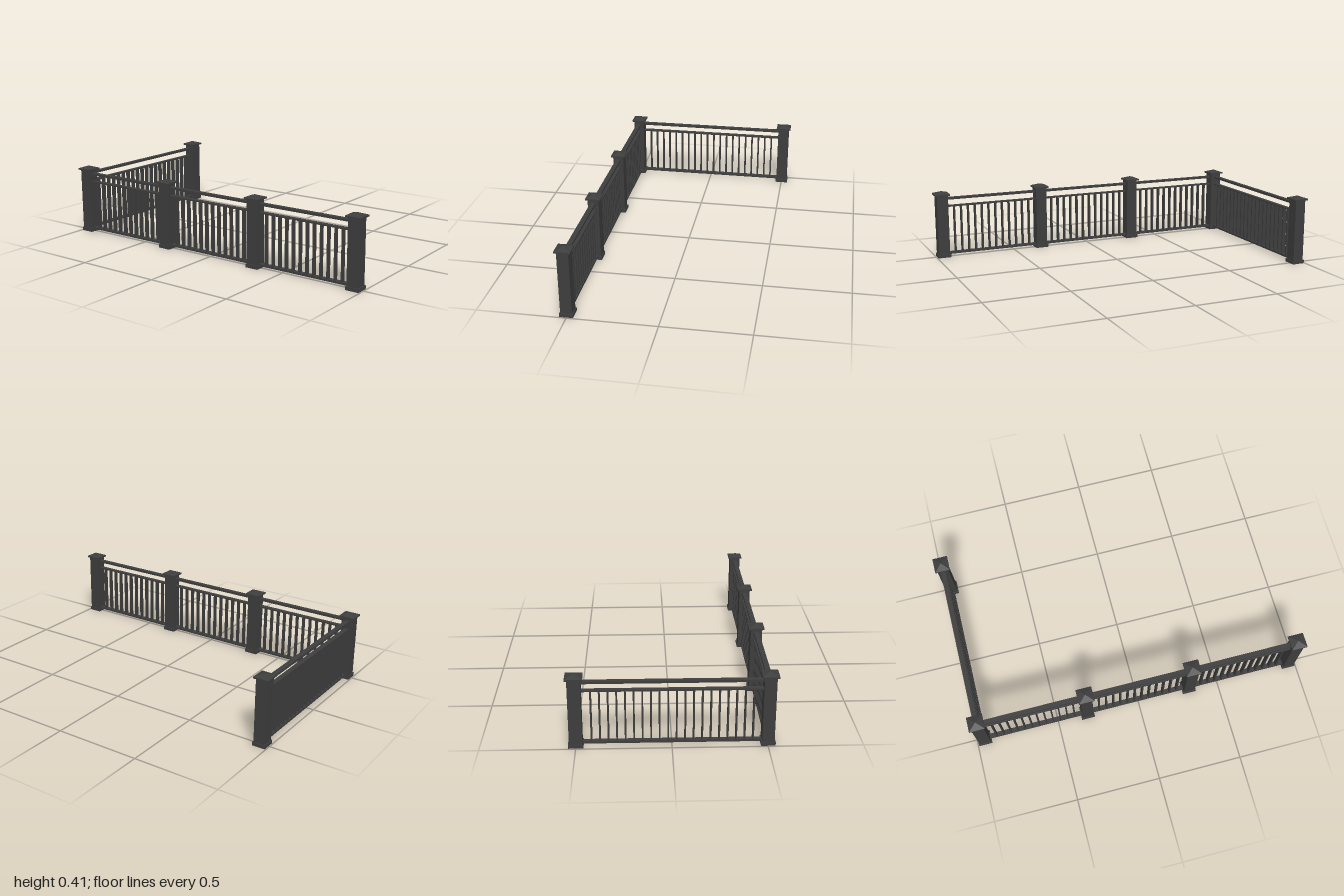
import * as THREE from 'three';

export function createModel() {
  const model = new THREE.Group();
  model.name = 'railing';
  const material = new THREE.MeshStandardMaterial({ color: 0x3d3d3d, flatShading: true });

  const add = (parent, name, geometry, x, y, z) => {
    const mesh = new THREE.Mesh(geometry, material);
    mesh.name = name;
    mesh.position.set(x, y, z);
    parent.add(mesh);
    return mesh;
  };
  // Box given by its length along the run, bottom, top and depth
  const slab = (parent, name, x, length, y0, y1, depth) =>
    add(parent, name, new THREE.BoxGeometry(length, y1 - y0, depth), x, (y0 + y1) / 2, 0);

  // Post with plinth, cap slab and low pyramid roof
  function createPost(x, z, turn = 0) {
    const post = new THREE.Group();
    post.name = 'post';
    slab(post, 'postBase', 0, 0.08, 0, 0.02, 0.076);
    slab(post, 'postShaft', 0, 0.069, 0.02, 0.39, 0.065);
    slab(post, 'postCap', 0, 0.092, 0.388, 0.397, 0.088);
    const roof = new THREE.ConeGeometry(Math.SQRT1_2, 0.016, 4, 1, true);
    roof.rotateY(Math.PI / 4).scale(0.092, 1, 0.088);
    add(post, 'postCapRoof', roof, 0, 0.405, 0);
    post.position.set(x, 0, z);
    post.rotation.y = turn;
    model.add(post);
  }

  // Panel between two posts: three rails and evenly spaced slats
  function createPanel(x, z, length, slats, spacing, turn = 0) {
    const panel = new THREE.Group();
    panel.name = 'panel';
    slab(panel, 'handRail', 0, length, 0.358, 0.371, 0.028);
    slab(panel, 'upperRail', 0, length, 0.313, 0.321, 0.028);
    slab(panel, 'bottomRail', 0, length, 0.015, 0.027, 0.028);
    for (let i = 0; i < slats; i++) {
      slab(panel, 'slat', (i - (slats - 1) / 2) * spacing, 0.009, 0.025, 0.315, 0.024);
    }
    panel.position.set(x, 0, z);
    panel.rotation.y = turn;
    model.add(panel);
  }

  // Front run: four posts, three panels
  const frontZ = 0.502, step = 0.636;
  for (let i = 0; i < 4; i++) createPost((i - 1.5) * step, frontZ);
  for (let i = -1; i <= 1; i++) createPanel(i * step, frontZ, 0.58, 12, 0.0438);

  // Side run returning to the back from the corner post
  createPost(-0.956, -0.5, Math.PI / 2);
  createPanel(-0.955, 0.003, 0.95, 20, 0.0443, Math.PI / 2);

  return model;
}
